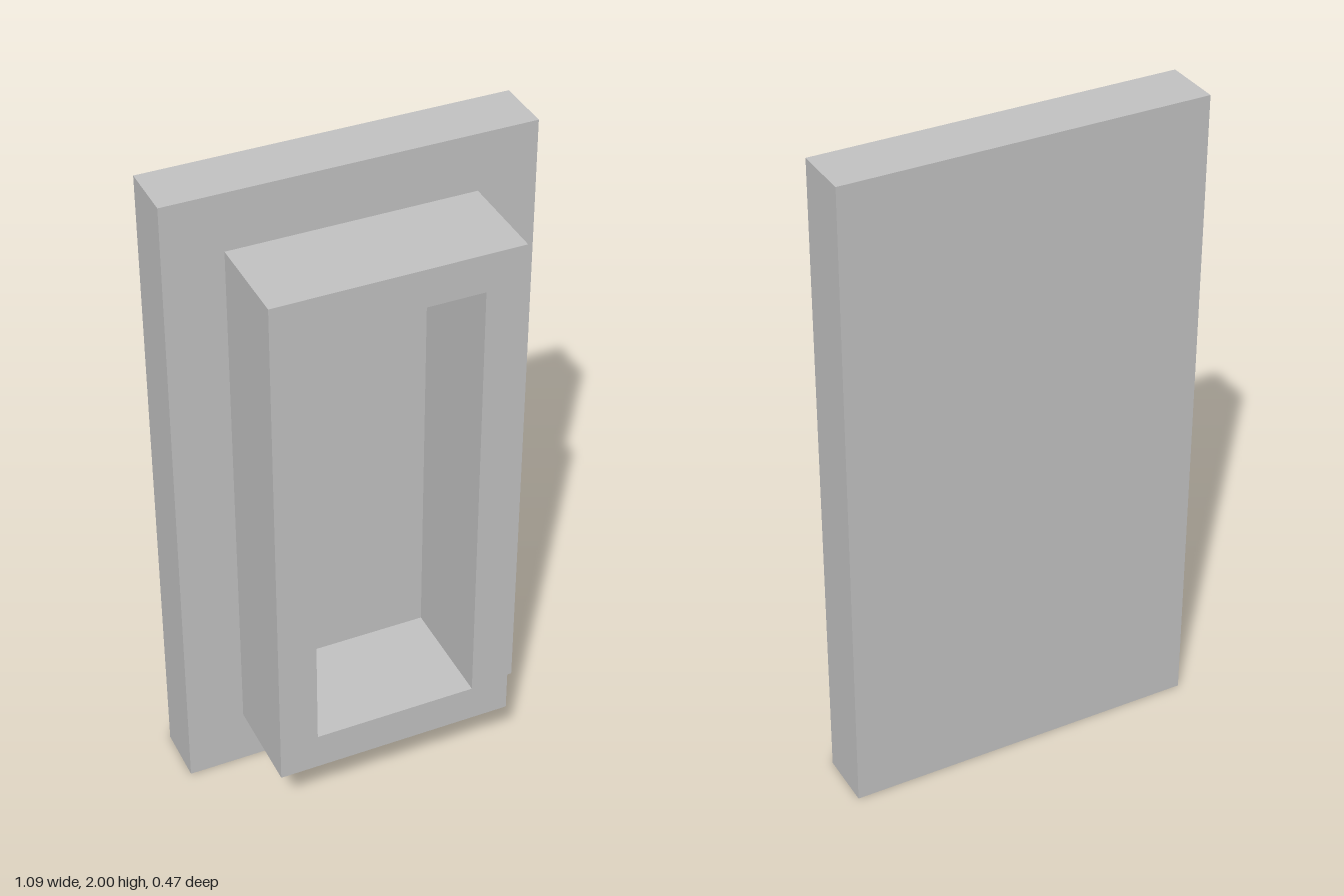
import * as THREE from 'three';

// The whole panel is laid out on a module of 1/17 unit.
const U = 2 / 34;

// Rectangle outline centred on x = 0 and y = 1
function trace(path, w, h) {
  const x = w / 2, y = h / 2;
  path.moveTo(-x, 1 - y);
  path.lineTo(x, 1 - y);
  path.lineTo(x, 1 + y);
  path.lineTo(-x, 1 + y);
  path.closePath();
  return path;
}

export function createModel() {
  const group = new THREE.Group();
  group.name = 'framedPanel';
  const lightGrey = new THREE.MeshStandardMaterial({ color: 0xc4c4c4 });
  lightGrey.name = 'lightGrey';

  const opening = [8.5 * U, 24 * U];

  // Adds a rectangular slab from z0 to z1, optionally pierced by the opening
  function addSlab(name, w, h, z0, z1, pierced) {
    const shape = trace(new THREE.Shape(), w, h);
    if (pierced) shape.holes.push(trace(new THREE.Path(), ...opening));
    const geometry = new THREE.ExtrudeGeometry(shape, { depth: z1 - z0, bevelEnabled: false });
    geometry.translate(0, 0, z0);
    const mesh = new THREE.Mesh(geometry, lightGrey);
    mesh.name = name;
    group.add(mesh);
  }

  // Back plate: solid rear layer that forms the recess floor, then a pierced front layer
  addSlab('backPlateRear', 18.5 * U, 34 * U, -4 * U, -2 * U, false);
  addSlab('backPlateFront', 18.5 * U, 34 * U, -2 * U, -U, true);

  // Raised hollow frame
  addSlab('raisedFrame', 12.5 * U, 28 * U, -U, 4 * U, true);

  return group;
}
